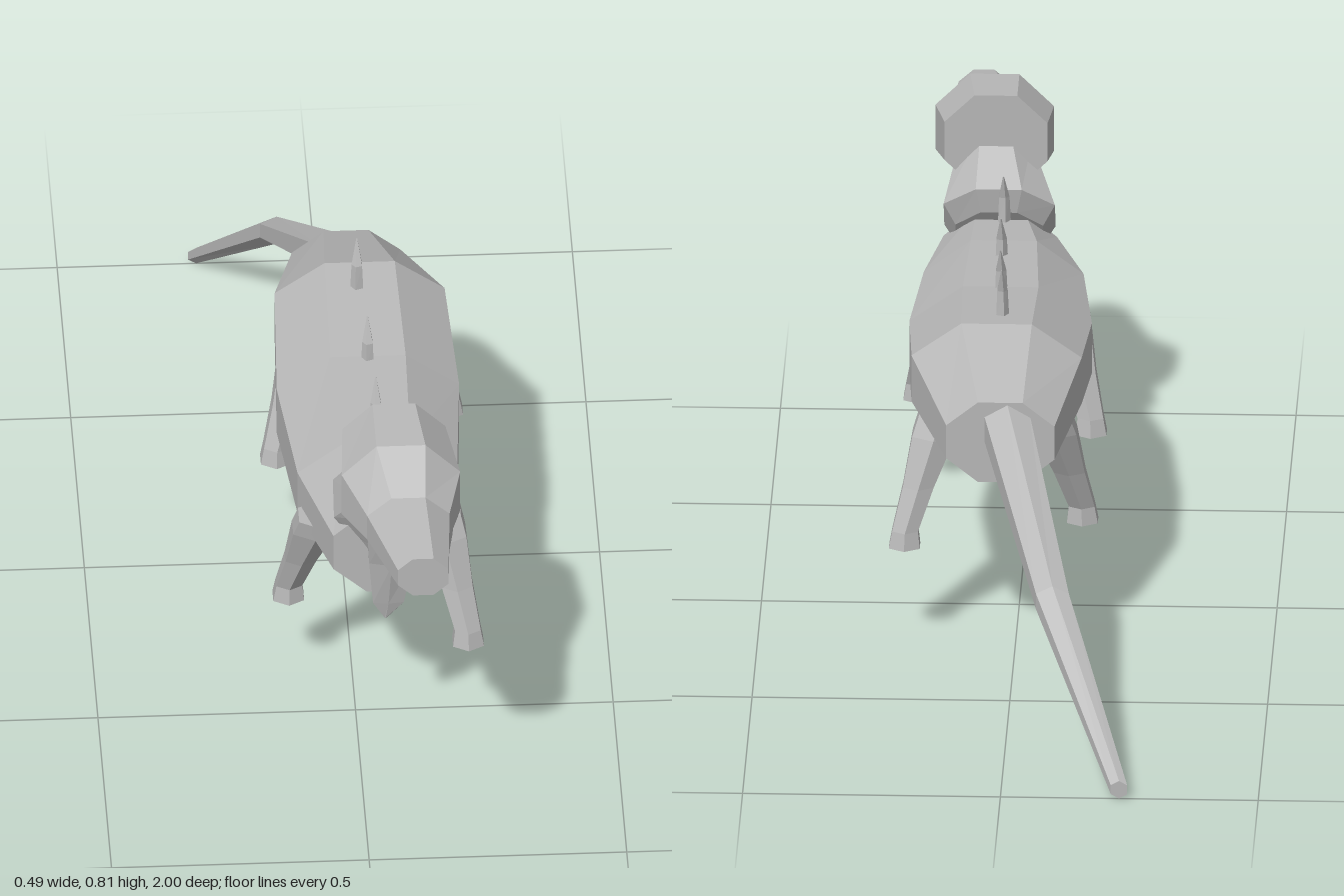
import * as THREE from 'three';

// Skin through rings [x, y, z, halfWidth, halfHeight, tilt about x], capped at both ends.
// Rings run along their normal: +z when tilt is 0, +y when tilt is FLAT.
const FLAT = -Math.PI / 2;

function loft(rings, sides) {
  const pos = [], index = [];
  const grow = 1 / Math.cos(Math.PI / sides);
  for (const [x, y, z, rx, ry, tilt = 0] of rings) {
    for (let i = 0; i < sides; i++) {
      const a = ((i + 0.5) / sides) * Math.PI * 2;
      const u = Math.cos(a) * rx * grow, v = Math.sin(a) * ry * grow;
      pos.push(x + u, y + v * Math.cos(tilt), z + v * Math.sin(tilt));
    }
  }
  const last = (rings.length - 1) * sides;
  for (let r = 0; r < last; r += sides) {
    for (let i = 0; i < sides; i++) {
      const j = (i + 1) % sides;
      index.push(r + i, r + j, r + sides + j, r + i, r + sides + j, r + sides + i);
    }
  }
  for (let i = 1; i < sides - 1; i++) {
    index.push(0, i + 1, i, last, last + i, last + i + 1);
  }
  const geo = new THREE.BufferGeometry();
  geo.setAttribute('position', new THREE.Float32BufferAttribute(pos, 3));
  geo.setIndex(index);
  const flat = geo.toNonIndexed();
  flat.computeVertexNormals();
  return flat;
}

export function createModel() {
  const model = new THREE.Group();
  model.name = 'lizard';
  const skin = new THREE.MeshStandardMaterial({ color: 0xb8b8b8 });
  skin.name = 'grey skin';

  const add = (name, rings, sides) => {
    const mesh = new THREE.Mesh(loft(rings, sides), skin);
    mesh.name = name;
    model.add(mesh);
  };

  // Long octagonal trunk
  add('body', [
    [0.025, 0.47, -0.325, 0.105, 0.083],
    [0.04, 0.515, -0.11, 0.165, 0.116],
    [0.042, 0.475, 0.16, 0.177, 0.125],
    [0.046, 0.473, 0.43, 0.155, 0.115],
    [0.06, 0.475, 0.635, 0.11, 0.095],
  ], 8);

  // Drooping tail, bent to one side
  add('tail', [
    [-0.23, 0.02, -1, 0.016, 0.016],
    [-0.09, 0.29, -0.7, 0.032, 0.028],
    [0.015, 0.505, -0.31, 0.045, 0.045],
  ], 6);

  // Neck leaning forward, with a flared collar
  add('neck', [
    [0.06, 0.535, 0.595, 0.085, 0.075, -0.6],
    [0.06, 0.575, 0.595, 0.108, 0.088, -0.6],
    [0.07, 0.675, 0.69, 0.07, 0.07, -0.7],
  ], 8);

  // Head and tapering snout
  add('head', [
    [0.068, 0.718, 0.62, 0.1, 0.096],
    [0.075, 0.695, 0.75, 0.115, 0.112],
    [0.085, 0.675, 0.835, 0.08, 0.068],
    [0.105, 0.672, 1, 0.049, 0.043],
  ], 8);

  // Pointed throat flap
  add('throatFlap', [
    [0.05, 0.335, 0.66, 0.002, 0.002, FLAT],
    [0.055, 0.375, 0.662, 0.03, 0.008, FLAT],
    [0.06, 0.48, 0.67, 0.043, 0.02, FLAT],
    [0.06, 0.61, 0.695, 0.05, 0.03, FLAT],
  ], 6);

  // Legs: foot and hip positions
  const legs = [
    ['frontLeftLeg', 0.215, 0.565, 0.165, 0.475],
    ['frontRightLeg', -0.125, 0.395, -0.07, 0.475],
    ['backLeftLeg', 0.215, -0.205, 0.15, -0.13],
    ['backRightLeg', -0.125, -0.06, -0.065, -0.13],
  ];
  for (const [name, fx, fz, hx, hz] of legs) {
    const at = (t, y, r) => [fx + (hx - fx) * t, y, fz + (hz - fz) * t, r, r, FLAT];
    add(name, [
      at(0, 0.204, 0.03), at(0.02, 0.238, 0.025),
      at(0.4, 0.32, 0.03), at(0.85, 0.415, 0.042), at(1.05, 0.455, 0.042),
    ], 6);
  }

  // Row of thin spines along the back: x, base height, z
  const spines = [[0.05, 0.585, 0.545], [0.048, 0.575, 0.352], [0.042, 0.585, 0.163], [0.032, 0.625, -0.04]];
  for (const [x, y, z] of spines) {
    add('backSpine', [
      [x, y, z, 0.011, 0.012, FLAT],
      [x, y + 0.05, z - 0.002, 0.009, 0.009, FLAT],
      [x, y + 0.098, z - 0.02, 0.001, 0.001, FLAT],
    ], 5);
  }

  return model;
}
